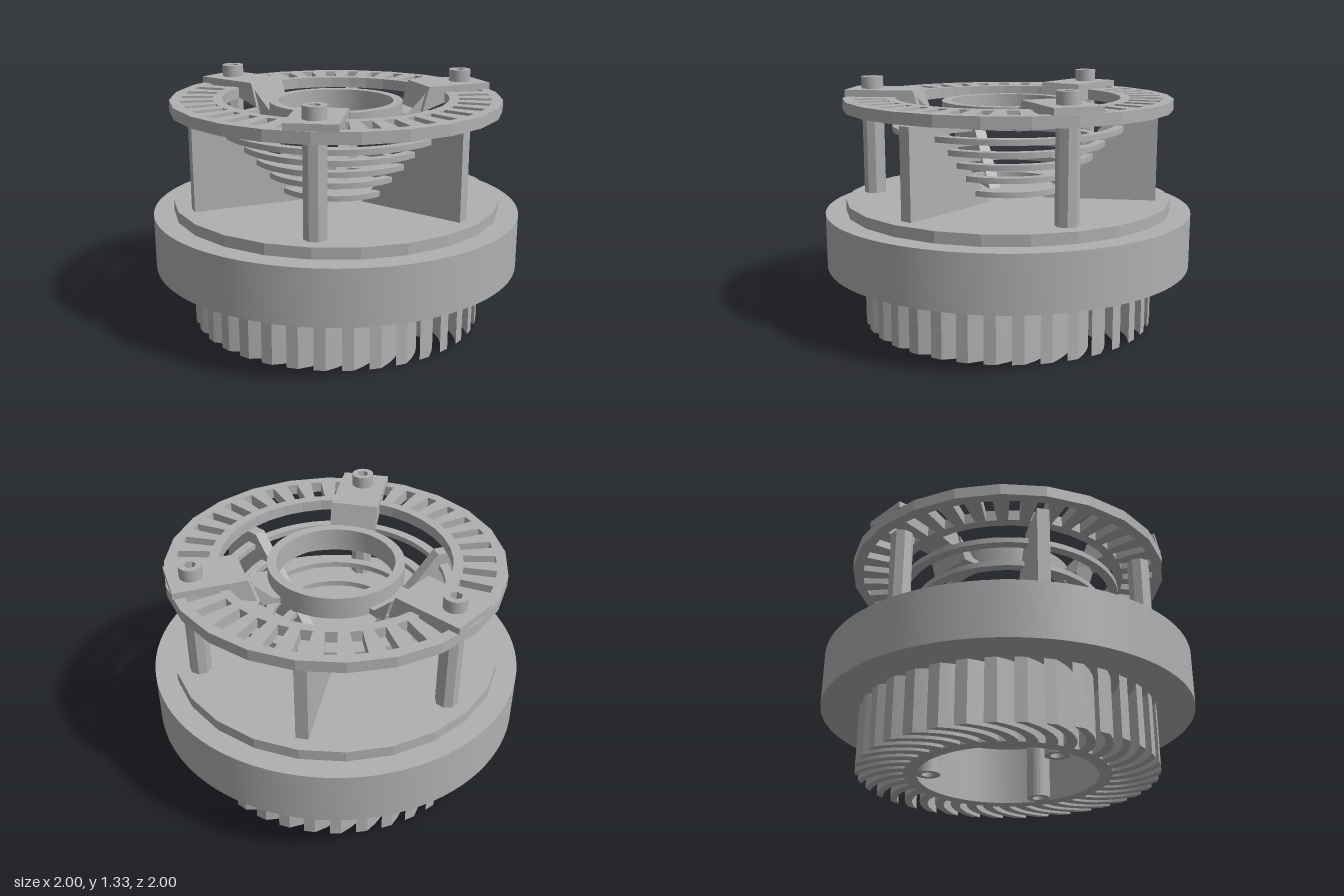
import * as THREE from 'three';
import { toCreasedNormals } from 'three/addons/utils/BufferGeometryUtils.js';

const metal = new THREE.MeshStandardMaterial({ color: 0xb0b0b0 });
metal.name = 'grey metal';
const V = (x, y) => new THREE.Vector2(x, y);
const polar = (r, a) => V(r * Math.cos(a), r * Math.sin(a));
const rad = THREE.MathUtils.degToRad;

export function createModel() {
  const model = new THREE.Group();
  model.name = 'finnedLampHousing';

  const add = (name, geo, angle = 0, parent = model) => {
    const m = new THREE.Mesh(geo, metal);
    m.name = name;
    m.rotation.y = -angle; // angle runs from +x towards +z
    parent.add(m);
    return m;
  };

  // Solid or hollow turned part between two heights
  const turned = (rOut, rIn, y0, y1, segs = 72) => {
    const p = [V(rIn, y0), V(rOut, y0), V(rOut, y1), V(rIn, y1)];
    if (rIn > 0) p.push(V(rIn, y0));
    return toCreasedNormals(new THREE.LatheGeometry(p, segs), 0.2);
  };

  // Plan outline (x, z) extruded between two heights
  const plan = (shape, y0, y1) => {
    const g = new THREE.ExtrudeGeometry(shape, { depth: y1 - y0, bevelEnabled: false });
    return g.rotateX(Math.PI / 2).translate(0, y1, 0);
  };

  // Side outline (radius, y) extruded to a width centred on the radius line
  const slab = (pts, width) => {
    const shape = new THREE.Shape(pts.map(([x, y]) => V(x, y)));
    const g = new THREE.ExtrudeGeometry(shape, { depth: width, bevelEnabled: false });
    return g.translate(0, 0, -width / 2);
  };

  const polygon = (r, n, phase = 0) =>
    Array.from({ length: n }, (_, i) => polar(r, phase + (i * 2 * Math.PI) / n));

  // Main drum and stepped plate
  add('drum', turned(1, 0, 0.325, 0.62, 96));
  add('stepPlate', turned(0.89, 0, 0.62, 0.68, 24));

  // Heat sink: hub tube with swept fins
  add('heatSinkHub', turned(0.55, 0.48, 0, 0.325));
  const finSide = (offset) => Array.from({ length: 8 }, (_, i) => {
    const t = i / 7, r = 0.53 + 0.27 * t;
    return polar(r, 0.32 * Math.pow(t, 1.6) + offset / r);
  });
  const finShape = new THREE.Shape([...finSide(-0.03), ...finSide(0.03).reverse()]);
  const finGeo = toCreasedNormals(plan(finShape, 0, 0.325), 0.5);
  const fins = new THREE.Group();
  fins.name = 'fins';
  model.add(fins);
  for (let i = 0; i < 36; i++) add('fin', finGeo, rad(i * 10), fins);

  // Hollow screw bosses inside the hub
  const bossGeo = turned(0.065, 0.035, 0, 0.325, 24).translate(0.42, 0, 0);
  for (let i = 0; i < 3; i++) add('screwBoss', bossGeo, rad(7 + i * 120));

  // Slotted top ring
  const ring = new THREE.Shape(polygon(0.89, 24));
  ring.holes.push(new THREE.Path(polygon(0.61, 36).reverse()));
  for (let i = 0; i < 36; i++) {
    const a = rad(i * 10), c = Math.cos(a), s = Math.sin(a);
    const corners = [[0.66, -0.03], [0.66, 0.03], [0.83, 0.03], [0.83, -0.03]];
    ring.holes.push(new THREE.Path(corners.map(([r, w]) => V(r * c - w * s, r * s + w * c))));
  }
  add('slottedRing', plan(ring, 1.17, 1.23));

  // Stepped baffle rings, forming a bowl, and the upper collar
  [[0.63, 1.055], [0.535, 0.975], [0.47, 0.9], [0.395, 0.82], [0.32, 0.73]].forEach(([r, y]) =>
    add('baffleRing', turned(r, r - 0.05, y, y + 0.03)));
  add('collar', turned(0.36, 0.31, 1.09, 1.21));

  // Screw head with a hexagonal socket
  const headShape = new THREE.Shape(polygon(0.06, 24));
  headShape.holes.push(new THREE.Path(polygon(0.032, 6).reverse()));
  const headGeo = toCreasedNormals(plan(headShape, 1.265, 1.33), 0.5).translate(0.76, 0, 0);

  const bracketGeo = slab([[0.88, 1.23], [0.88, 1.265], [0.5, 1.265], [0.46, 1.13],
    [0.34, 1.13], [0.34, 1.1], [0.435, 1.1], [0.475, 1.23]], 0.26);
  const postGeo = plan(new THREE.Shape(polygon(0.06, 8, Math.PI / 8)), 0.68, 1.17)
    .translate(0.76, 0, 0);
  const gussetGeo = slab([[0.2, 0.68], [0.81, 0.68], [0.81, 1.15], [0.57, 1.15]], 0.065);

  // Three supports with brackets, alternating with three gusset plates
  for (let i = 0; i < 3; i++) {
    const a = rad(90 + i * 120);
    add('post', postGeo, a);
    add('bracket', bracketGeo, a);
    add('screwHead', headGeo, a);
    add('gusset', gussetGeo, a + Math.PI / 3);
  }
  return model;
}
